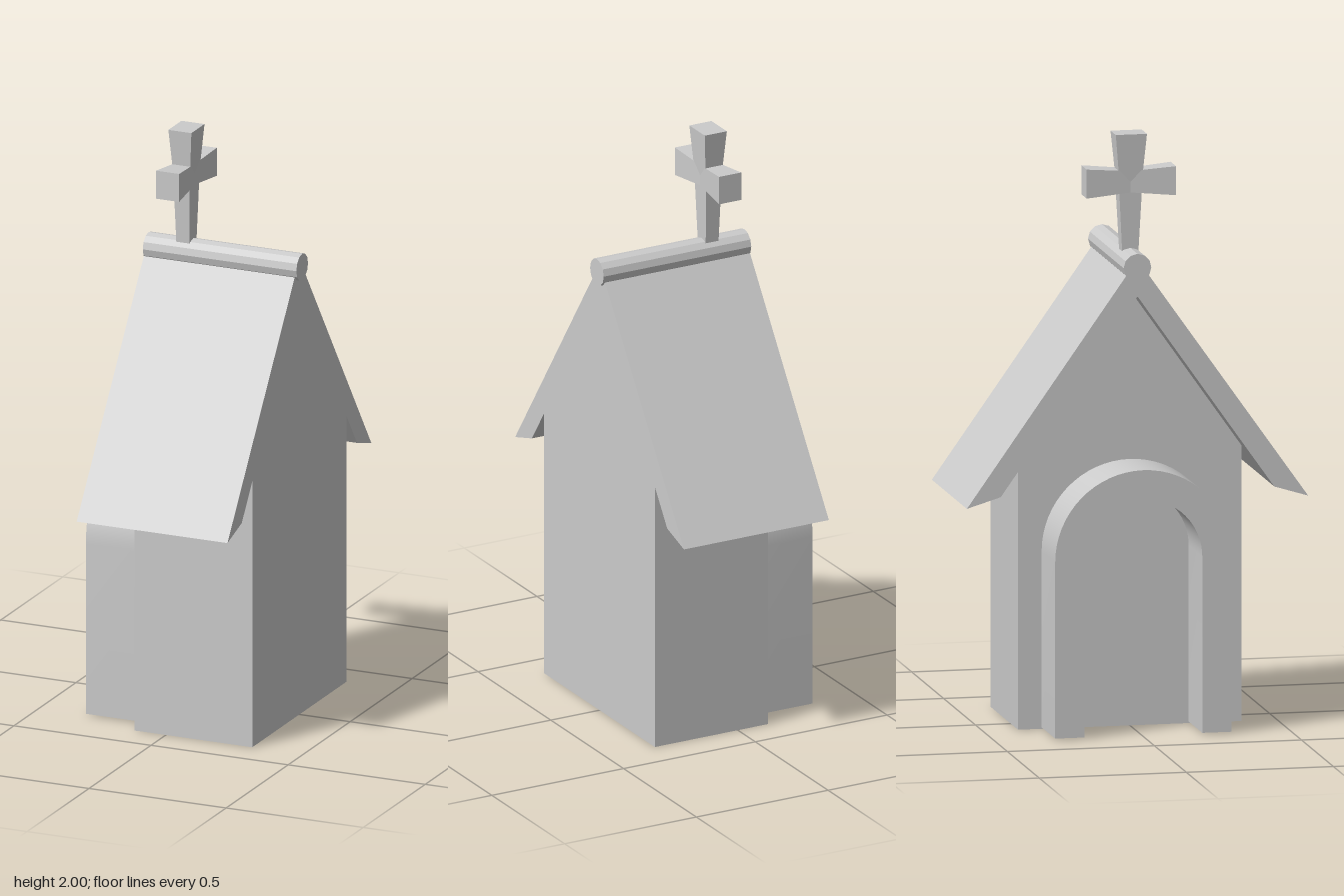
import * as THREE from 'three';
import { toCreasedNormals } from 'three/addons/utils/BufferGeometryUtils.js';

const material = new THREE.MeshStandardMaterial({ color: 0xcccccc });

function part(name, geometry) {
  const mesh = new THREE.Mesh(toCreasedNormals(geometry, 0.4), material);
  mesh.name = name;
  return mesh;
}

// Extrude a cross-section drawn in the z-y plane from x0 to x1.
function extrudeAlongX(shape, x0, x1) {
  return new THREE.ExtrudeGeometry(shape, { depth: x1 - x0, bevelEnabled: false, curveSegments: 16 })
    .rotateY(Math.PI / 2)
    .translate(x0, 0, 0);
}

const polygon = (points) => new THREE.Shape(points.map(([z, y]) => new THREE.Vector2(z, y)));

// A closed outline symmetric about z = 0, from its right half.
const mirrored = (half) =>
  polygon([...half, ...half.slice().reverse().filter(([z]) => z > 0).map(([z, y]) => [-z, y])]);

// Box along +y from the origin whose half sizes change from [x, z] at the base to [x, z] at the end.
function taperedArm(length, base, end) {
  const geometry = new THREE.BoxGeometry(2, length, 2).translate(0, length / 2, 0);
  const p = geometry.attributes.position;
  for (let i = 0; i < p.count; i++) {
    const size = p.getY(i) > length / 2 ? end : base;
    p.setX(i, p.getX(i) * size[0]);
    p.setZ(i, p.getZ(i) * size[1]);
  }
  geometry.computeVertexNormals();
  return geometry;
}

function createCross() {
  const cross = new THREE.Group();
  cross.name = 'cross';
  const arms = [
    ['crossTop', 0, 0.162, [0.03, 0.038], [0.042, 0.053]],
    ['crossLeftArm', Math.PI / 2, 0.152, [0.03, 0.036], [0.042, 0.049]],
    ['crossRightArm', -Math.PI / 2, 0.152, [0.03, 0.036], [0.042, 0.049]],
    ['crossShaft', Math.PI, 0.25, [0.03, 0.04], [0.024, 0.027]],
  ];
  for (const [name, angle, length, base, end] of arms) {
    const arm = part(name, taperedArm(length, base, end));
    arm.rotation.x = angle;
    cross.add(arm);
  }
  cross.position.set(-0.097, 1.838, 0);
  return cross;
}

export function createModel() {
  const model = new THREE.Group();
  model.name = 'chapel';

  // Walls with a gable that meets the underside of the roof
  const gable = mirrored([[0.38, 0], [0.38, 0.93], [0, 1.47]]);
  model.add(part('walls', extrudeAlongX(gable, -0.115, 0.315)));

  // Two roof slopes with overhanging eaves and porch
  const slopes = mirrored([[0, 1.47], [0.38, 0.93], [0.465, 0.81], [0.58, 0.775], [0, 1.595]]);
  model.add(part('roof', extrudeAlongX(slopes, -0.235, 0.315)));

  // Round ridge beam
  const ridge = new THREE.CylinderGeometry(0.047, 0.047, 0.56, 12).rotateZ(Math.PI / 2);
  const beam = part('ridgeBeam', ridge);
  beam.position.set(0.045, 1.567, 0);
  model.add(beam);

  // Doorway arch
  const arch = new THREE.Shape();
  arch.moveTo(0.2, 0.005);
  arch.lineTo(0.3, 0.005);
  arch.lineTo(0.3, 0.6);
  arch.absarc(0, 0.6, 0.3, 0, Math.PI, false);
  arch.lineTo(-0.3, 0.005);
  arch.lineTo(-0.2, 0.005);
  arch.lineTo(-0.2, 0.6);
  arch.absarc(0, 0.6, 0.2, Math.PI, 0, true);
  arch.closePath();
  model.add(part('doorArch', extrudeAlongX(arch, -0.328, -0.115)));

  model.add(createCross());
  return model;
}
